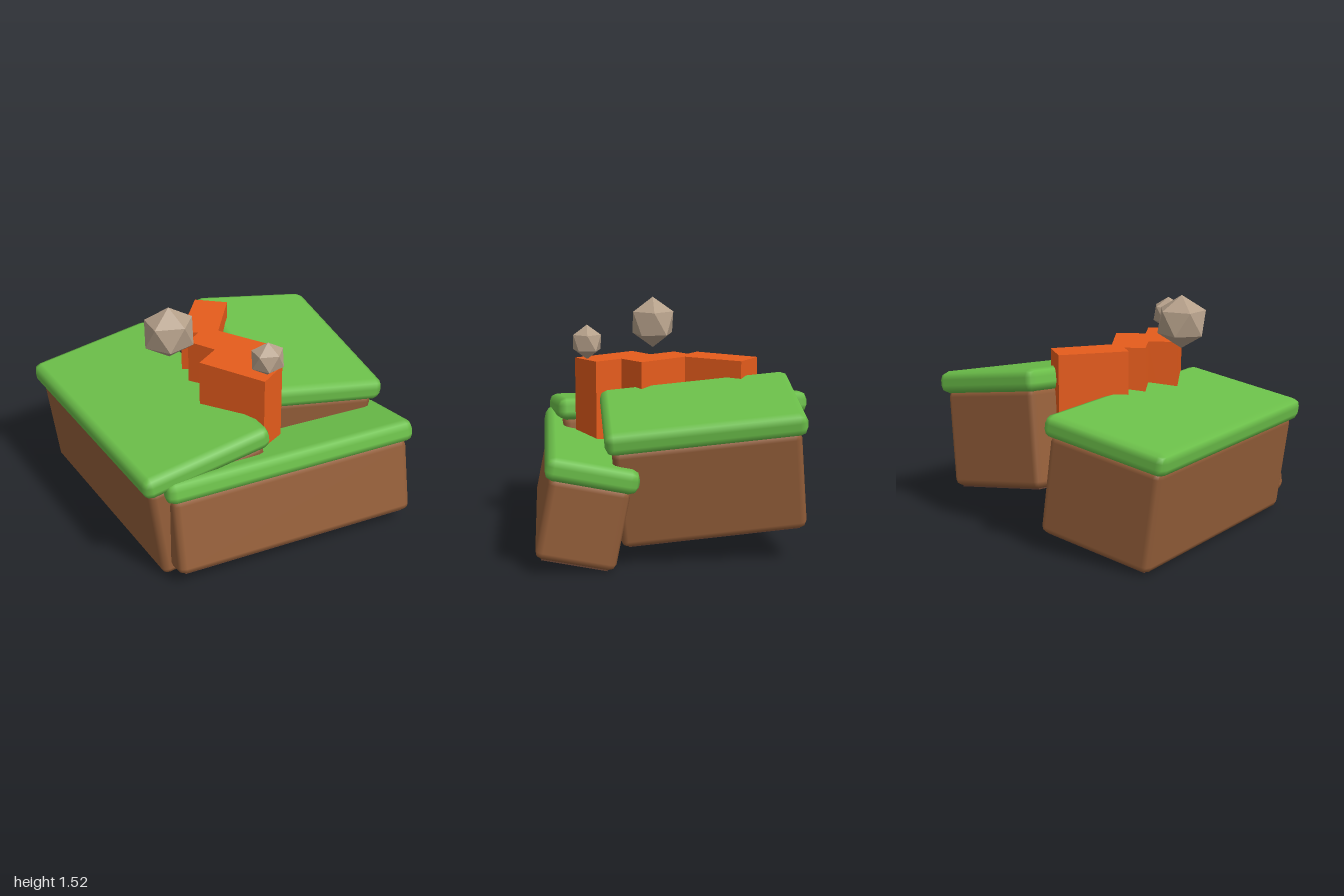
import * as THREE from 'three';
import { RoundedBoxGeometry } from 'three/addons/geometries/RoundedBoxGeometry.js';

const material = (name, color, flatShading = false) => {
  const m = new THREE.MeshStandardMaterial({ color, flatShading });
  m.name = name;
  return m;
};

export function createModel() {
  const grass = material('grass green', 0x6cc04a);
  const soil = material('soil brown', 0x955f3a);
  const darkSoil = material('dark soil brown', 0x654030);
  const lava = material('lava orange', 0xe65c1c);
  const stone = material('stone grey', 0xb5a08a, true);

  const model = new THREE.Group();
  model.name = 'crackedGround';

  const add = (parent, name, geometry, mat) => {
    const mesh = new THREE.Mesh(geometry, mat);
    mesh.name = name;
    parent.add(mesh);
    return mesh;
  };

  // Tilted slab of ground: origin at the centre of its grass cap
  const capHeight = 0.148;
  const slab = (name, position, rotation, width, depth, soilHeight) => {
    const group = new THREE.Group();
    group.name = name;
    group.position.set(...position);
    group.rotation.set(...rotation);
    add(group, 'grassCap', new RoundedBoxGeometry(width, capHeight, depth, 1, 0.055), grass);
    const sunk = 0.02; // soil reaches a little into the cap
    const body = add(group, 'soilBlock',
      new RoundedBoxGeometry(width - 0.075, soilHeight + sunk, depth - 0.075, 1, 0.045), soil);
    body.position.y = -capHeight / 2 - soilHeight / 2 + sunk / 2;
    // Dark underside, standing slightly proud of the soil
    const base = add(group, 'soilBase',
      new THREE.BoxGeometry(width - 0.165, 0.03, depth - 0.165), darkSoil);
    base.position.y = -capHeight / 2 - soilHeight + 0.007;
    model.add(group);
  };
  slab('leftSlab', [-0.498, 0.765, -0.05], [0, 0.07, 0.14], 0.893, 1.69, 0.635);
  slab('rightSlab', [0.555, 0.9, -0.115], [0.095, -0.02, -0.17], 0.86, 1.23, 0.62);
  slab('frontSlab', [0.13, 0.6, 0.573], [-0.2, 0, 0], 1.74, 0.573, 0.492);

  // Zigzag wall of lava rising from the crack, outlined as x, z
  const outline = [
    [0.08, -0.54], [0.26, -0.41], [0.03, -0.07], [0.24, 0.23], [0.08, 0.35], [0.19, 0.52],
    [0, 0.65], [-0.26, 0.26], [-0.1, 0.15], [-0.21, -0.02], [-0.1, -0.1], [-0.19, -0.17],
  ].map(([x, z]) => new THREE.Vector2(x, z));
  const wall = new THREE.ExtrudeGeometry(new THREE.Shape(outline), { depth: 0.95, bevelEnabled: false });
  wall.rotateX(Math.PI / 2);
  add(model, 'lavaCrack', wall, lava).position.y = 1.17;

  // Flying rocks, each with one corner pointing straight up
  const rock = (name, radius, x, y, z) => {
    const geometry = new THREE.IcosahedronGeometry(radius, 0);
    geometry.rotateZ(-Math.atan(2 / (1 + Math.sqrt(5))));
    geometry.scale(1.04, 1, 0.93);
    add(model, name, geometry, stone).position.set(x, y, z);
  };
  rock('largeRock', 0.173, -0.4, 1.347, 0.11);
  rock('smallRock', 0.113, 0.057, 1.28, 0.572);

  return model;
}
